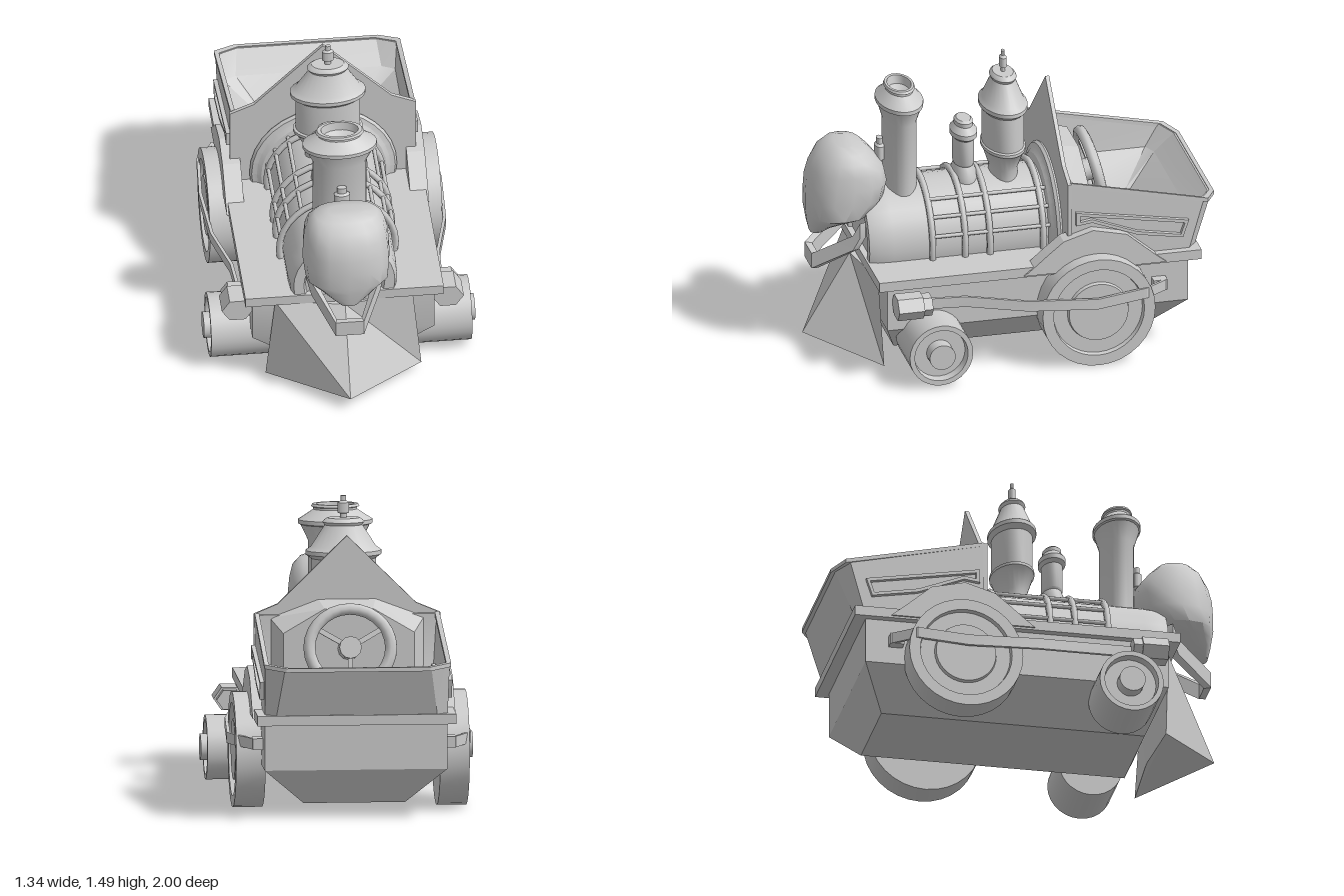
import * as THREE from 'three';
import { toCreasedNormals } from 'three/addons/utils/BufferGeometryUtils.js';

const material = new THREE.MeshStandardMaterial({ color: 0xcccccc, side: THREE.DoubleSide });

// Skin through matching closed loops of [x, y, z] points
function loft(loops, crease = 0.5, capStart = true, capEnd = true) {
  const n = loops[0].length, index = [];
  for (let i = 0; i < loops.length - 1; i++) {
    for (let j = 0; j < n; j++) {
      const a = i * n + j, b = i * n + (j + 1) % n;
      index.push(a, b, b + n, a, b + n, a + n);
    }
  }
  const last = (loops.length - 1) * n;
  for (let j = 1; j < n - 1; j++) {
    if (capStart) index.push(0, j + 1, j);
    if (capEnd) index.push(last, last + j, last + j + 1);
  }
  const g = new THREE.BufferGeometry();
  g.setAttribute('position', new THREE.Float32BufferAttribute(loops.flat(2), 3));
  g.setIndex(index);
  return toCreasedNormals(g, crease);
}

// Turned part about y from [radius, height] points
const turned = (pts, sides = 24) =>
  toCreasedNormals(new THREE.LatheGeometry(pts.map(p => new THREE.Vector2(...p)), sides), 0.45);

// Side profile of [z, y] points extruded across x, centred on x = 0
function sideExtrude(pts, width) {
  const shape = new THREE.Shape(pts.map(p => new THREE.Vector2(...p)));
  const g = new THREE.ExtrudeGeometry(shape, { depth: width, bevelEnabled: false });
  return g.rotateY(-Math.PI / 2).translate(width / 2, 0, 0);
}

// Flat bar following [x, y, z] stations
const strap = (stations, w, h) => loft(stations.map(([x, y, z]) => [
  [x - w, y - h, z], [x + w, y - h, z], [x + w, y + h, z], [x - w, y + h, z]]));

const rect = (x, y, zFront, zBack) => [[x, y, zFront], [-x, y, zFront], [-x, y, zBack], [x, y, zBack]];

export function createModel() {
  const model = new THREE.Group();
  const add = (name, geometry, x = 0, y = 0, z = 0, parent = model) => {
    const mesh = new THREE.Mesh(geometry, material);
    mesh.name = name;
    mesh.position.set(x, y, z);
    parent.add(mesh);
    return mesh;
  };

  // Hull and running board
  add('hull', loft([rect(0.25, 0.07, 0.6, -0.72), rect(0.45, 0.25, 0.68, -0.84), rect(0.45, 0.49, 0.68, -0.84)]));
  add('runningBoard', new THREE.BoxGeometry(0.98, 0.05, 1.63), 0, 0.505, -0.085);

  // Wedge-shaped track guard at the front
  add('trackGuard', loft([
    [[0.385, 0.03, 0.68], [0, 0.075, 1], [-0.385, 0.03, 0.68], [0, 0.04, 0.66]],
    [[0.34, 0.48, 0.7], [0, 0.48, 0.76], [-0.34, 0.48, 0.7], [0, 0.48, 0.66]]], 0.1));

  // Boiler, firebox flange, hoops and lengthwise rails
  const boiler = new THREE.Group();
  boiler.name = 'boiler';
  boiler.position.set(0, 0.58, 0);
  model.add(boiler);
  add('boilerBarrel', turned([[0, -0.25], [0.27, -0.25], [0.27, 0.6], [0.265, 0.68], [0.25, 0.72],
    [0.2, 0.72], [0.19, 0.7], [0, 0.7]], 32).rotateX(Math.PI / 2), 0, 0, 0, boiler);
  add('fireboxFlange', turned([[0.27, -0.18], [0.31, -0.185], [0.33, -0.2], [0.355, -0.205], [0.365, -0.22],
    [0.355, -0.24], [0, -0.24]], 32).rotateX(Math.PI / 2), 0, 0, 0, boiler);
  for (const z of [0.41, 0.245, 0.12, -0.15]) {
    add('boilerHoop', new THREE.TorusGeometry(0.287, 0.017, 6, 32), 0, 0, z, boiler);
  }
  for (const s of [-1, 1]) {
    for (const deg of [14, 33, 52]) {
      const a = deg * Math.PI / 180;
      add('boilerRail', new THREE.CylinderGeometry(0.011, 0.011, 0.62, 6).rotateX(Math.PI / 2),
        s * 0.288 * Math.cos(a), 0.288 * Math.sin(a), 0.1, boiler);
    }
  }

  // Chimney and domes, wider across than lengthwise
  const oval = (name, pts, z) => { add(name, turned(pts), 0, 0, z).scale.x = 1.6; };
  oval('chimney', [[0.083, 0.78], [0.083, 1.19], [0.107, 1.27], [0.115, 1.275], [0.115, 1.295], [0.1, 1.31],
    [0.068, 1.345], [0.068, 1.355], [0.075, 1.36], [0.07, 1.372], [0.058, 1.372], [0.052, 1.33], [0, 1.3]], 0.51);
  oval('smallDome', [[0.065, 0.82], [0.065, 0.86], [0.048, 0.91], [0.052, 0.92], [0.052, 1.05], [0.066, 1.065],
    [0.066, 1.09], [0.045, 1.12], [0.045, 1.14], [0.035, 1.15], [0, 1.15]], 0.185);
  oval('largeDome', [[0.07, 0.82], [0.07, 0.88], [0.1, 0.97], [0.108, 0.98], [0.108, 0.995], [0.1, 1.0],
    [0.1, 1.18], [0.117, 1.2], [0.117, 1.22], [0.1, 1.24], [0.058, 1.345], [0.065, 1.36], [0.06, 1.37],
    [0.05, 1.38], [0, 1.38]], -0.015);
  oval('whistle', [[0.01, 1.37], [0.01, 1.4], [0.018, 1.405], [0.018, 1.455], [0.009, 1.465], [0.009, 1.49],
    [0, 1.49]], -0.015);
  oval('frontValve', [[0.015, 0.8], [0.015, 0.97], [0.025, 0.98], [0.025, 1.05], [0.015, 1.06], [0.015, 1.09],
    [0, 1.09]], 0.61);

  // Skull: rows of [height, half width, front z, back z]
  const skullRows = [[0.625, 0.045, 0.965, 0.9], [0.67, 0.1, 0.975, 0.85], [0.705, 0.15, 0.98, 0.76],
    [0.74, 0.205, 0.985, 0.68], [0.82, 0.215, 0.985, 0.605], [0.9, 0.212, 0.98, 0.585], [0.97, 0.205, 0.96, 0.6],
    [1.03, 0.19, 0.925, 0.65], [1.07, 0.155, 0.88, 0.69], [1.09, 0.09, 0.84, 0.75]];
  add('skull', loft(skullRows.map(([y, hw, zf, zb]) => Array.from({ length: 16 }, (_, i) => {
    const a = (i / 16) * Math.PI * 2, c = Math.cos(a), s = Math.sin(a);
    const soft = v => Math.sign(v) * Math.abs(v) ** 0.8;
    return [hw * soft(c), y, (zf + zb) / 2 + (zf - zb) / 2 * soft(s)];
  })), 0.8));
  // Jaw: one V-shaped band
  add('jaw', loft([[0.19, 0.68, 0.74], [0.17, 0.61, 0.77], [0.07, 0.49, 0.955], [-0.07, 0.49, 0.955],
    [-0.17, 0.61, 0.77], [-0.19, 0.68, 0.74]].map(([x, y, z]) => [
    [x, y + 0.04, z + 0.015], [x * 0.88, y + 0.035, z - 0.02], [x * 0.88, y - 0.045, z - 0.02], [x, y - 0.04, z + 0.015]])));

  // Open tub behind the boiler: outside, rim, inside ledge, floor
  const rimY = z => 0.94 + (z + 0.24) * 0.224;
  const tubLoop = (x, xBack, zFront, zSide, zBack, height) =>
    [[x, zFront], [x, zSide], [xBack, zBack], [-xBack, zBack], [-x, zSide], [-x, zFront]]
      .map(([px, pz]) => [px, height ?? rimY(pz), pz]);
  add('tub', loft([
    tubLoop(0.45, 0.4, -0.24, -0.84, -0.88, 0.5), tubLoop(0.455, 0.36, -0.24, -0.92, -0.98),
    tubLoop(0.44, 0.345, -0.26, -0.91, -0.965), tubLoop(0.425, 0.36, -0.26, -0.84, -0.87, 0.68),
    tubLoop(0.25, 0.24, -0.3, -0.7, -0.72, 0.55)], 0.3, false, true));
  // Rim lip along the tub's top edge
  const rimPath = [[0.455, -0.25], [0.46, -0.94], [0.355, -0.995], [-0.355, -0.995], [-0.46, -0.94], [-0.455, -0.25]];
  add('tubRim', loft(rimPath.map(([x, z]) => {
    const y = rimY(z);
    return [[x, y - 0.012, z], [x, y + 0.008, z], [x * 0.95, y + 0.008, z + 0.02], [x * 0.95, y - 0.012, z + 0.02]];
  }), 0.3));

  // Peaked bulkhead
  const plate = new THREE.Shape([[-0.46, 0.52], [0.46, 0.52], [0.46, 0.94], [0.34, 0.99], [0, 1.325], [-0.34, 0.99],
    [-0.46, 0.94]].map(p => new THREE.Vector2(...p)));
  add('bulkhead', new THREE.ExtrudeGeometry(plate, { depth: 0.02, bevelEnabled: false }), 0, 0, -0.25);

  // Dashboard and steering wheel
  const dash = (k, z, yTop, yEdge) => [[-0.38 * k, 0.55, z], [0.38 * k, 0.55, z], [0.38 * k, yEdge, z],
    [0.14 * k, yTop, z], [-0.14 * k, yTop, z], [-0.38 * k, yEdge, z]];
  add('dashboard', loft([dash(1, -0.25, 1.01, 0.92), dash(0.85, -0.37, 0.98, 0.86)], 0.1));
  const steering = new THREE.Group();
  steering.name = 'steeringWheel';
  steering.position.set(0, 0.8, -0.46);
  steering.rotation.x = 0.2;
  model.add(steering);
  add('steeringRim', new THREE.TorusGeometry(0.19, 0.028, 8, 28), 0, 0, 0, steering).scale.x = 1.06;
  add('steeringColumn', new THREE.CylinderGeometry(0.055, 0.055, 0.16, 12).rotateX(Math.PI / 2), 0, 0, 0.05, steering);
  for (let i = 0; i < 3; i++) {
    const spoke = add('steeringSpoke', new THREE.BoxGeometry(0.025, 0.19, 0.015).translate(0, 0.095, 0), 0, 0, 0, steering);
    spoke.rotation.z = i * Math.PI * 2 / 3 + Math.PI / 3;
  }

  // Wheels turned about x, profile of [radius, outward distance]
  const bigWheel = [[0, 0.43], [0.285, 0.43], [0.285, 0.575], [0.23, 0.575], [0.225, 0.55], [0.155, 0.55],
    [0.15, 0.57], [0, 0.57]];
  const smallWheel = [[0, 0.36], [0.16, 0.36], [0.16, 0.645], [0.135, 0.645], [0.13, 0.6], [0.065, 0.6],
    [0.065, 0.67], [0, 0.67]];
  const arch = [[0.0, 0.49], [-0.05, 0.53], [-0.12, 0.59], [-0.2, 0.655], [-0.35, 0.7], [-0.52, 0.66], [-0.6, 0.59],
    [-0.67, 0.53], [-0.72, 0.49]];

  // Left and right running gear
  for (const s of [-1, 1]) {
    const side = s > 0 ? 'left' : 'right';
    const turn = g => g.rotateZ(-s * Math.PI / 2);
    add(side + 'BigWheel', turn(turned(bigWheel, 32)), 0, 0.288, -0.36);
    add(side + 'SmallWheel', turn(turned(smallWheel, 28)), 0, 0.178, 0.455);
    add(side + 'Fender', sideExtrude(arch, 0.09), s * 0.455, 0, 0);

    // Six-sided piston housing with an end collar
    for (const [r, len, z] of [[0.065, 0.13, 0.59], [0.055, 0.05, 0.505]]) {
      const housing = toCreasedNormals(new THREE.CylinderGeometry(r, r, len, 6), 0.3)
        .rotateY(Math.PI / 6).rotateX(Math.PI / 2).scale(1.2, 1, 1);
      add(side + 'PistonHousing', housing, s * 0.52, 0.405, z);
    }
    // Connecting rod bowed outward around the big wheel
    add(side + 'ConnectingRod', strap([[0.5, 0.4, 0.5], [0.51, 0.395, 0.3], [0.575, 0.365, 0], [0.592, 0.345, -0.35],
      [0.575, 0.37, -0.6], [0.49, 0.365, -0.72]].map(([x, y, z]) => [s * x, y, z]), 0.008, 0.027));
    add(side + 'RodBracket', new THREE.BoxGeometry(0.06, 0.055, 0.07), s * 0.47, 0.365, -0.69);

    // Raised frame on the tub side
    const panel = [[-0.27, 0.79], [-0.84, 0.69], [-0.81, 0.6], [-0.58, 0.64], [-0.35, 0.73], [-0.27, 0.72]];
    const frame = new THREE.Shape(panel.map(p => new THREE.Vector2(...p)));
    const hole = [[-0.29, 0.77], [-0.82, 0.677], [-0.8, 0.617], [-0.58, 0.657], [-0.35, 0.747], [-0.29, 0.738]];
    frame.holes.push(new THREE.Path(hole.map(p => new THREE.Vector2(...p))));
    add(side + 'TubPanelFrame', new THREE.ExtrudeGeometry(frame, { depth: 0.03, bevelEnabled: false })
      .rotateY(-Math.PI / 2).translate(0.015, 0, 0), s * 0.459, 0, 0);
  }
  return model;
}
